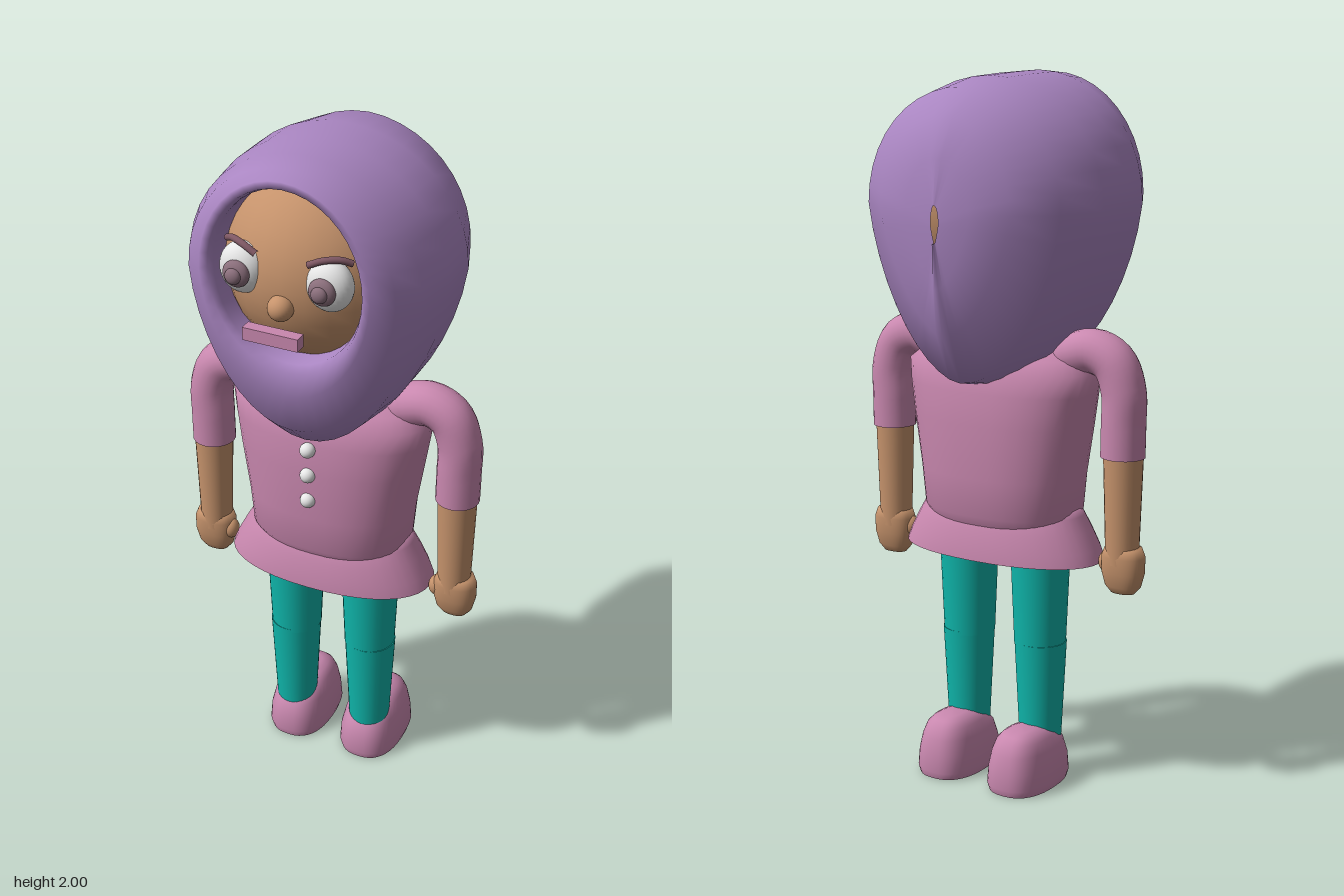
import * as THREE from 'three';

const mat = (name, color, side = THREE.FrontSide) => {
  const m = new THREE.MeshStandardMaterial({ color, side });
  m.name = name;
  return m;
};

// Smooth skin through a list of equal-length closed rings of [x, y, z] points
function loft(rings) {
  const n = rings[0].length, idx = [];
  for (let i = 0; i < rings.length - 1; i++) {
    for (let j = 0; j < n; j++) {
      const a = i * n + j, b = i * n + (j + 1) % n;
      idx.push(a, a + n, b, b, a + n, b + n);
    }
  }
  const g = new THREE.BufferGeometry();
  g.setAttribute('position', new THREE.Float32BufferAttribute(rings.flat(2), 3));
  g.setIndex(idx);
  g.computeVertexNormals();
  return g;
}

const SEG = 40;
const angles = Array.from({ length: SEG }, (_, j) => (j / SEG) * Math.PI * 2);
const pw = (v, e) => Math.sign(v) * Math.abs(v) ** e;

// Upright form from sections [y, halfWidth, halfDepth, centreZ]; e < 1 squares it off.
// A repeated section gives a sharp edge; a zero-sized one closes the end.
const stack = (sections, e = 1) => loft(sections.map(([y, w, d, cz = 0]) =>
  angles.map((a) => [w * pw(Math.cos(a), e), y, cz + d * pw(Math.sin(a), e)])));

// Headscarf: teardrop rings [z, halfWidth, top, bottom, widestY, pinch] from the face to the back
function hoodGeometry() {
  const rings = [
    [0.16, 0.205, 1.94, 1.46, 1.7, 0],
    [0.265, 0.21, 1.945, 1.457, 1.7, 0],
    [0.286, 0.217, 1.953, 1.44, 1.7, 0],
    [0.29, 0.24, 1.975, 1.37, 1.69, 0.06],
    [0.25, 0.292, 1.993, 1.245, 1.67, 0.12],
    [0.17, 0.333, 2.0, 1.17, 1.65, 0.17],
    [0.05, 0.355, 1.998, 1.15, 1.65, 0.18],
    [-0.08, 0.355, 1.993, 1.15, 1.65, 0.18],
    [-0.22, 0.305, 1.968, 1.18, 1.65, 0.2],
    [-0.305, 0.205, 1.9, 1.32, 1.65, 0.3],
    [-0.338, 0.1, 1.79, 1.45, 1.64, 0.45],
    [-0.348, 0.012, 1.67, 1.57, 1.62, 0.6],
  ];
  return loft(rings.map(([z, w, top, bottom, cy, pinch]) => angles.map((a) => {
    const s = Math.sin(a), down = Math.max(0, -s);
    // gathered fold running down from the back opening
    const fold = z < -0.2 ? 0.012 * Math.exp(-((Math.cos(a) / 0.2) ** 2)) * (s < 0 ? 1 : 0.3) : 0;
    return [w * Math.cos(a) * (1 - pinch * down), cy + s * (s > 0 ? top - cy : cy - bottom), z - fold];
  })));
}

export function createModel() {
  const model = new THREE.Group();
  model.name = 'figure';

  const purple = mat('scarf purple', 0xaa86c2, THREE.DoubleSide);
  const pink = mat('clothes pink', 0xc988af);
  const teal = mat('leggings teal', 0x0fb5aa);
  const skin = mat('skin', 0xc6936c);
  const white = mat('white', 0xe6e6e6);
  const iris = mat('iris mauve', 0x8b6f7c);
  const brow = mat('brow brown', 0x7d5763);

  const add = (name, geometry, material, x = 0, y = 0, z = 0) => {
    const m = new THREE.Mesh(geometry, material);
    m.name = name;
    m.position.set(x, y, z);
    model.add(m);
    return m;
  };
  const ball = (name, material, r, x, y, z, sx = 1, sy = 1, sz = 1) => {
    const m = add(name, new THREE.SphereGeometry(r, 28, 20), material, x, y, z);
    m.scale.set(sx, sy, sz);
    return m;
  };
  const tube = (name, points, r, material) => add(name,
    new THREE.TubeGeometry(new THREE.CatmullRomCurve3(points.map((p) => new THREE.Vector3(...p))), 24, r, 20), material);

  // Head
  add('hood', hoodGeometry(), purple);
  ball('head', skin, 0.305, 0, 1.68, 0, 0.93, 0.98, 1);
  ball('nose', skin, 0.035, 0, 1.637, 0.303);
  add('mouth', new THREE.BoxGeometry(0.156, 0.036, 0.034), pink, 0, 1.577, 0.349);

  // Tunic
  add('torso', stack([
    [0.74, 0, 0], [0.74, 0.2, 0.13], [0.74, 0.2, 0.13], [0.79, 0.236, 0.157], [0.9, 0.245, 0.167],
    [1.05, 0.27, 0.167], [1.14, 0.285, 0.16], [1.2, 0.294, 0.146], [1.235, 0.25, 0.12],
    [1.26, 0.2, 0.09], [1.27, 0, 0],
  ].map(([y, w, d]) => [y, w, d, -0.01]), 0.85), pink);
  add('skirt', stack([
    [0.665, 0, 0], [0.665, 0.31, 0.166], [0.665, 0.31, 0.166], [0.7, 0.296, 0.162], [0.75, 0.27, 0.15],
    [0.79, 0.248, 0.134], [0.82, 0.232, 0.11], [0.83, 0, 0],
  ].map(([y, w, d]) => [y, w, d, -0.007]), 0.9), pink);
  for (const y of [1.128, 1.047, 0.965]) ball('button', white, 0.022, 0, y, 0.157);

  // Mirrored parts
  for (const s of [1, -1]) {
    // Eye
    ball('eye', white, 0.064, s * 0.122, 1.712, 0.268, 1, 1.1, 0.75);
    ball('iris', iris, 0.037, s * 0.12, 1.712, 0.312, 1, 1, 0.55);
    ball('pupil', iris, 0.022, s * 0.12, 1.712, 0.33, 1, 1, 0.65);
    tube('eyebrow', [[s * 0.072, 1.768, 0.293], [s * 0.11, 1.785, 0.287], [s * 0.15, 1.787, 0.268],
      [s * 0.175, 1.775, 0.25]], 0.009, brow);

    // Arm
    tube('sleeve', [[s * 0.22, 1.245, -0.007], [s * 0.29, 1.262, -0.007], [s * 0.35, 1.235, -0.007],
      [s * 0.38, 1.16, -0.007], [s * 0.381, 1.07, -0.007], [s * 0.38, 0.98, -0.007]], 0.062, pink);
    ball('shoulder', pink, 0.062, s * 0.22, 1.245, -0.007);
    add('forearm', new THREE.CylinderGeometry(0.056, 0.046, 0.32, 24), skin, s * 0.381, 0.84, -0.005);
    add('hand', stack([
      [0.592, 0, 0], [0.595, 0.035, 0.022], [0.615, 0.052, 0.034], [0.655, 0.062, 0.044],
      [0.7, 0.062, 0.046], [0.725, 0.052, 0.042], [0.735, 0, 0],
    ], 0.85), skin, s * 0.385, 0, -0.005);
    ball('thumb', skin, 0.026, s * 0.331, 0.675, 0, 0.9, 1.2, 1);

    // Leg
    add('upperLeg', new THREE.CylinderGeometry(0.088, 0.074, 0.34, 28), teal, s * 0.12, 0.57, -0.008);
    add('lowerLeg', new THREE.CylinderGeometry(0.075, 0.06, 0.3, 28), teal, s * 0.122, 0.26, -0.008);

    // Shoe, sections [y, halfWidth, front, back]
    add('shoe', stack([
      [0, 0, -0.07, -0.07], [0, 0.088, 0.068, -0.204], [0, 0.088, 0.068, -0.204], [0.02, 0.094, 0.073, -0.21],
      [0.07, 0.09, 0.07, -0.207], [0.115, 0.08, 0.055, -0.198], [0.145, 0.068, 0.025, -0.183],
      [0.162, 0.05, -0.025, -0.165], [0.17, 0.03, -0.055, -0.14], [0.171, 0, -0.1, -0.1],
    ].map(([y, w, f, b]) => [y, w, (f - b) / 2, (f + b) / 2]), 0.8), pink, s * 0.119);
  }
  return model;
}
